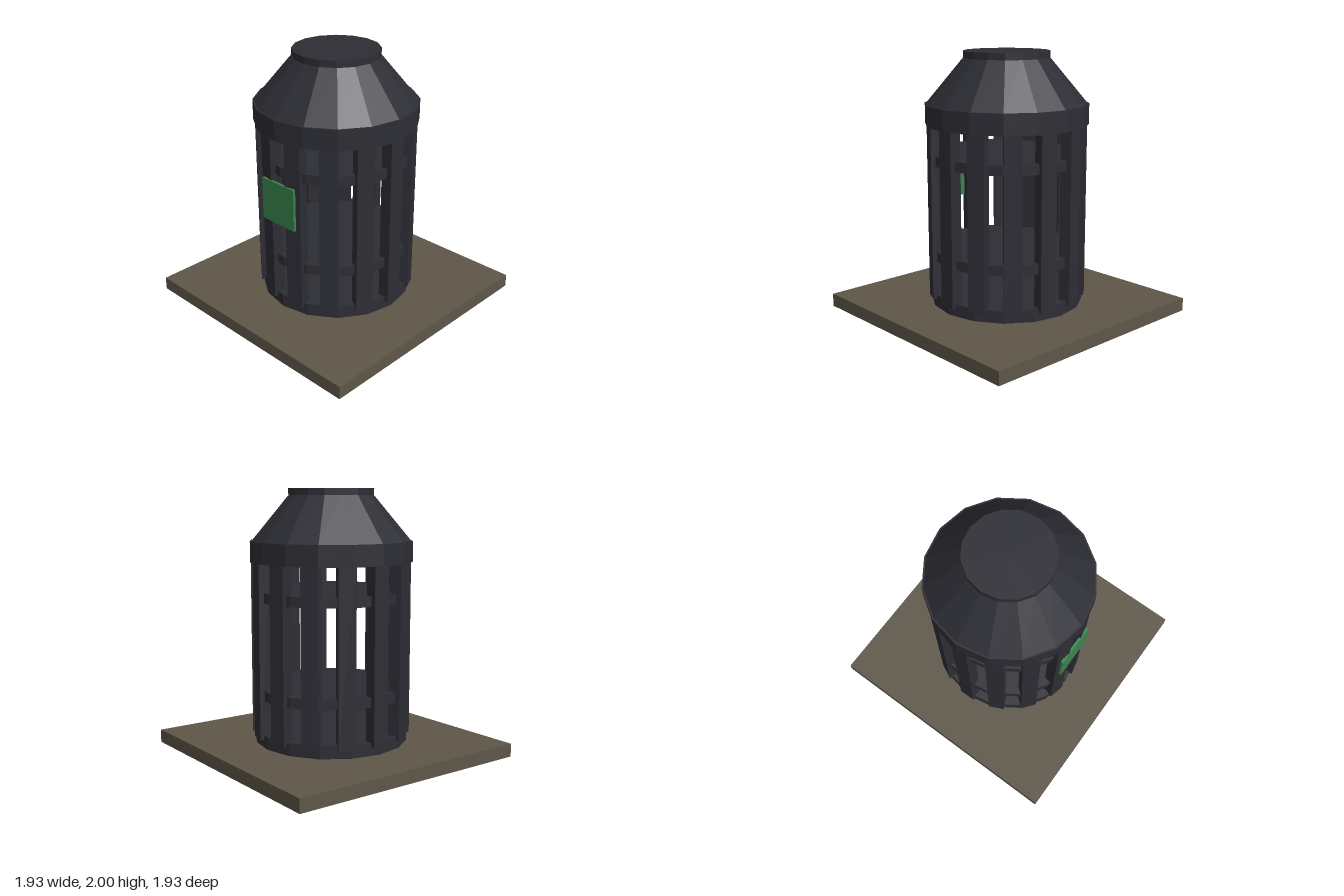
import * as THREE from 'three';

export function createModel() {
  const model = new THREE.Group();
  model.name = 'litterBin';

  const material = (name, color) => {
    const m = new THREE.MeshStandardMaterial({ color, flatShading: true });
    m.name = name;
    return m;
  };
  const metal = material('dark metal', 0x2d2d35);
  const stone = material('paving brown', 0x5e5648);
  const green = material('plaque green', 0x38844e);

  const add = (name, geometry, mat, x, y, z, parent = model) => {
    const mesh = new THREE.Mesh(geometry, mat);
    mesh.name = name;
    mesh.position.set(x, y, z);
    parent.add(mesh);
    return mesh;
  };
  // Sixteen-sided drum between two heights
  const drum = (name, rTop, rBottom, y0, y1) =>
    add(name, new THREE.CylinderGeometry(rTop, rBottom, y1 - y0, 16), metal, 0, (y0 + y1) / 2, 0);

  // Ground slab
  add('slab', new THREE.BoxGeometry(1.935, 0.1, 1.935), stone, 0, 0.05, 0);

  // Body discs and hooded top
  drum('baseDisc', 0.58, 0.58, 0.1, 0.195);
  drum('lowerHoop', 0.57, 0.57, 0.45, 0.525);
  drum('upperHoop', 0.57, 0.57, 1.175, 1.25);
  drum('collar', 0.612, 0.612, 1.46, 1.615);
  drum('hood', 0.32, 0.6, 1.615, 1.95);
  drum('cap', 0.322, 0.322, 1.95, 2);

  // Ring of upright slats
  const slats = new THREE.Group();
  slats.name = 'slats';
  model.add(slats);
  const count = 14;
  const slatGeometry = new THREE.BoxGeometry(0.09, 1.32, 0.127);
  for (let i = 0; i < count; i++) {
    const a = (i / count) * Math.PI * 2;
    const slat = add('slat', slatGeometry, metal, 0.551 * Math.cos(a), 0.82, 0.551 * Math.sin(a), slats);
    slat.rotation.y = -a;
  }

  // Front plaque
  add('plaque', new THREE.BoxGeometry(0.325, 0.325, 0.02), green, 0, 0.97, 0.59);

  return model;
}
